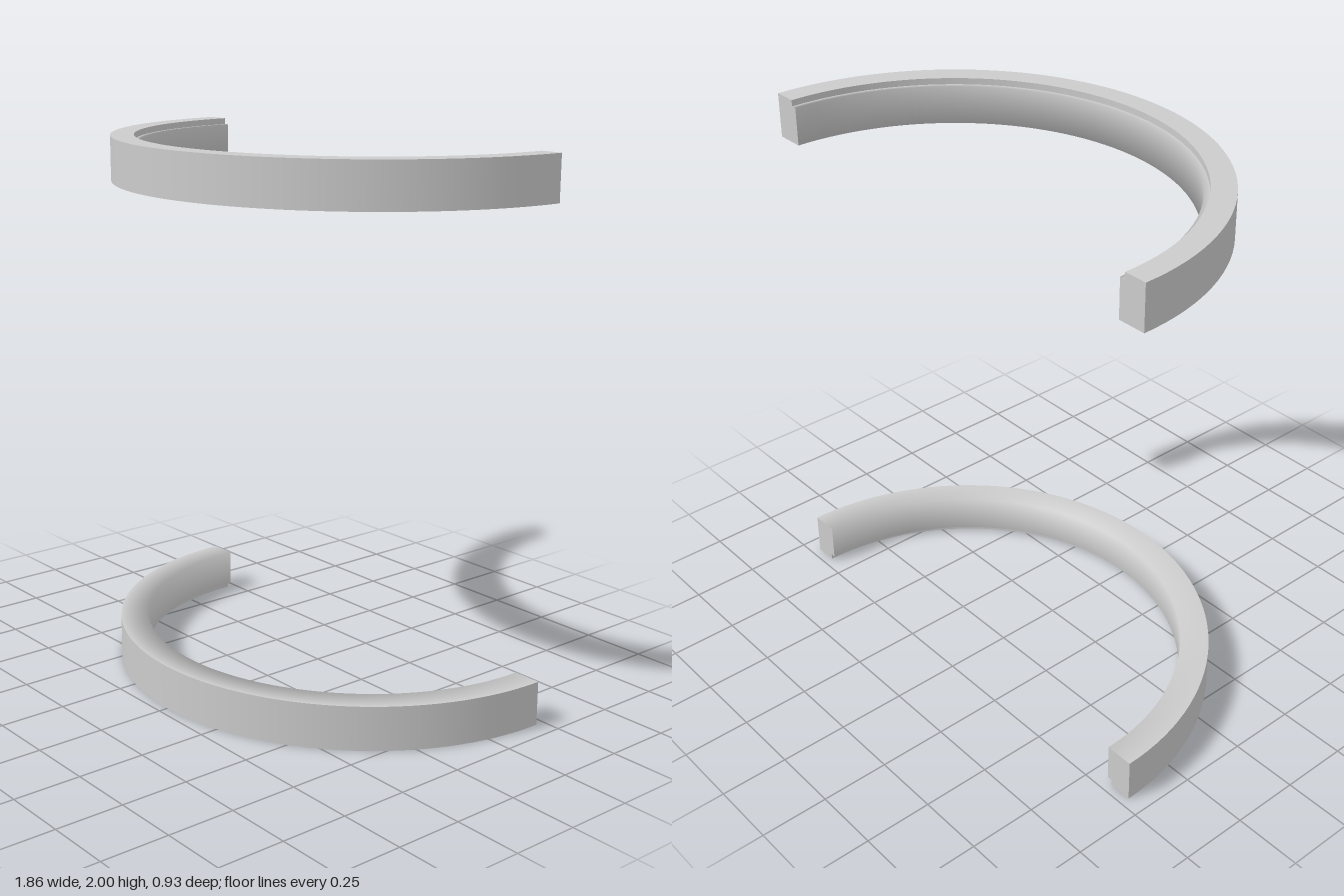
import * as THREE from 'three';
import { mergeGeometries } from 'three/addons/utils/BufferGeometryUtils.js';

const OUTER = 0.93, INNER = 0.825, STEP = 0.845;
const HEIGHT = 0.163, LEDGE = 0.14;

// Cross-section (radius, y), split into strips at its sharp edges;
// normals run smoothly within each strip.
const strips = [
  [[OUTER, 0], [OUTER, HEIGHT]],                            // outer wall
  [[OUTER, HEIGHT], [STEP, HEIGHT]],                        // top face
  [[STEP, HEIGHT], [STEP, LEDGE]],                          // step of the rebate
  [[STEP, LEDGE], [INNER, LEDGE], [INNER, 0], [OUTER, 0]],  // ledge, inner wall, underside
];

// Flat end of the half ring, facing -z, on side -1 or +1 of x
function endCap(side) {
  const outline = strips.flatMap((s) => s.slice(0, -1));
  const shape = new THREE.Shape(outline.map(([r, y]) => new THREE.Vector2(-side * r, y)));
  return new THREE.ShapeGeometry(shape).rotateY(Math.PI);
}

function halfRingGeometry() {
  const walls = strips.map((s) => new THREE.LatheGeometry(
    s.map(([r, y]) => new THREE.Vector2(r, y)), 64, -Math.PI / 2, Math.PI));
  return mergeGeometries([...walls, endCap(-1), endCap(1)]);
}

export function createModel() {
  const model = new THREE.Group();
  model.name = 'halfRingPair';
  const material = new THREE.MeshStandardMaterial({ color: 0xcccccc });
  const geometry = halfRingGeometry();

  // Upper half ring, rebate on its top inner edge
  const upper = new THREE.Mesh(geometry, material);
  upper.name = 'upperHalfRing';
  upper.position.set(0, 2 - HEIGHT, -OUTER / 2);

  // Lower half ring, the same part turned upside down
  const lower = new THREE.Mesh(geometry, material);
  lower.name = 'lowerHalfRing';
  lower.rotation.z = Math.PI;
  lower.position.set(0, HEIGHT, -OUTER / 2);

  model.add(upper, lower);
  return model;
}
